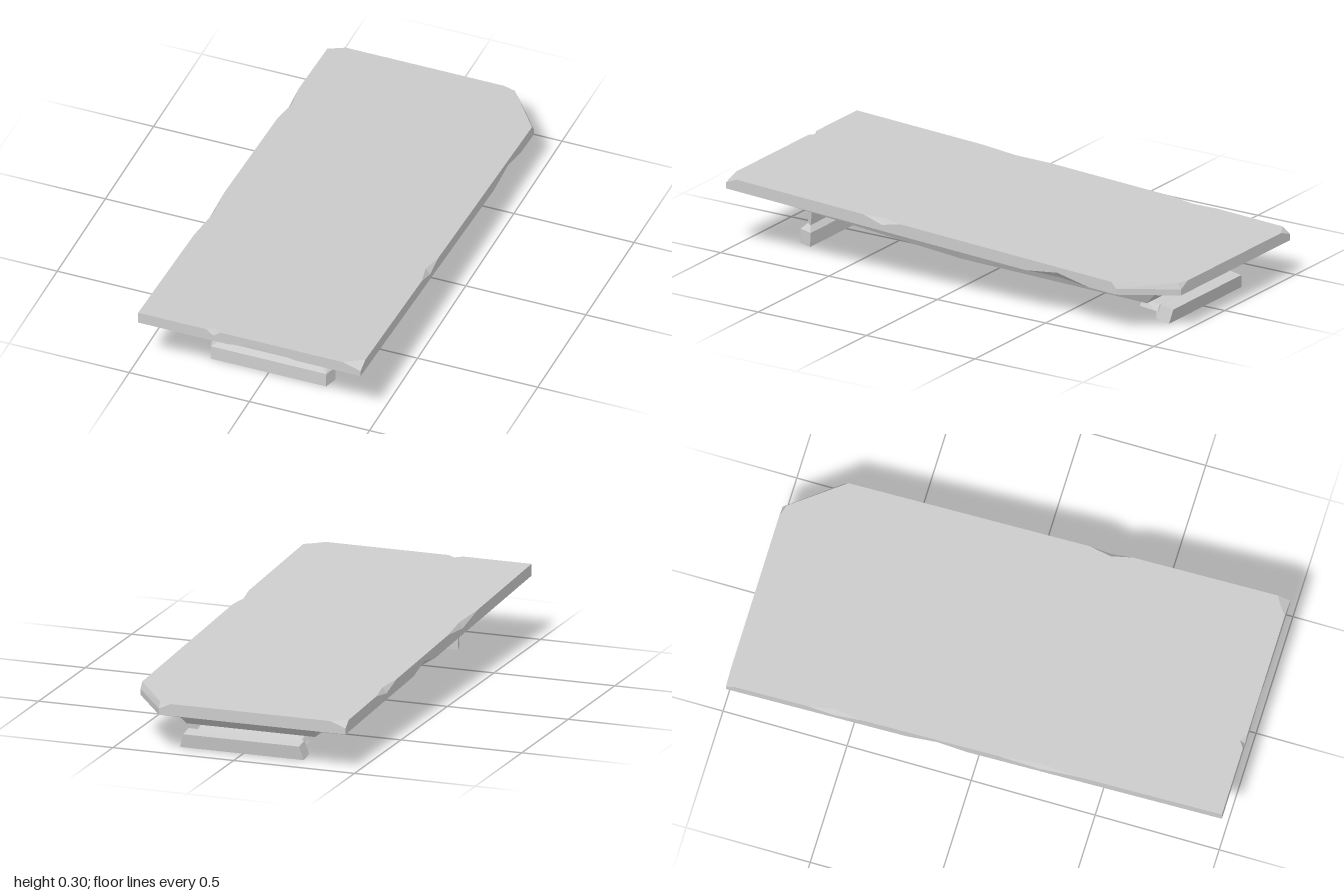
import * as THREE from 'three';

const material = new THREE.MeshStandardMaterial({ color: 0xcccccc, flatShading: true });

// Joins rings of [x, y, z] (bottom to top, counter-clockwise from above) and caps both ends.
// isChip(i) picks the quad diagonals so a pushed-in corner reads as a clean facet.
function loft(rings, isChip = () => false) {
  const pos = [];
  const tri = (...pts) => pts.forEach((p) => pos.push(...p));
  const n = rings[0].length;
  for (let r = 0; r < rings.length - 1; r++) {
    const lo = rings[r], hi = rings[r + 1];
    for (let i = 0; i < n; i++) {
      const j = (i + 1) % n;
      const rising = r === 0 ? !isChip(i) : !isChip(j);
      if (rising) { tri(lo[i], lo[j], hi[j]); tri(lo[i], hi[j], hi[i]); }
      else { tri(lo[i], lo[j], hi[i]); tri(lo[j], hi[j], hi[i]); }
    }
  }
  const cap = (ring, up) => {
    const flat = ring.map(([x, , z]) => new THREE.Vector2(x, -z));
    for (const [a, b, c] of THREE.ShapeUtils.triangulateShape(flat, [])) {
      if (up) tri(ring[a], ring[b], ring[c]);
      else tri(ring[a], ring[c], ring[b]);
    }
  };
  cap(rings[0], false);
  cap(rings[rings.length - 1], true);
  const g = new THREE.BufferGeometry();
  g.setAttribute('position', new THREE.Float32BufferAttribute(pos, 3));
  g.computeVertexNormals();
  return g;
}

function part(name, geometry) {
  const mesh = new THREE.Mesh(geometry, material);
  mesh.name = name;
  return mesh;
}

const W = 0.463;
const slope = (z) => 0.05 * z;

// Slab outline: corners plus chips; top / bottom give the moved edge position
function slabGeometry() {
  const pts = [];
  const add = (x, z, top, bottom, chip = false) => pts.push({ x, z, top: top || [x, z], bottom: bottom || [x, z], chip });
  // A chip on a straight edge: (dx, dz) runs along the edge, (nx, nz) points inward
  const chip = (x, z, dx, dz, nx, nz, depth, atTop) => {
    const inner = [x + nx * depth, z + nz * depth];
    add(x - dx, z - dz);
    add(x, z, atTop && inner, !atTop && inner, true);
    add(x + dx, z + dz);
  };
  // left side, front to back
  add(W, 1, [0.425, 0.973], null, true);
  add(W, 0.95);
  chip(W, 0.28, 0, -0.085, -1, 0, 0.018, true);
  chip(W, -0.53, 0, -0.145, -1, 0, 0.02, false);
  // cut back corner
  add(W, -0.8, [W, -0.78]);
  add(0.31, -1, [0.31, -0.985]);
  add(0.26, -1);
  // back edge and its chipped corner
  add(-0.4, -1);
  add(-W, -1, [-0.43, -0.983], null, true);
  add(-W, -0.965);
  // right side, back to front
  chip(-W, -0.56, 0, 0.11, 1, 0, 0.016, true);
  chip(-W, -0.15, 0, 0.12, 1, 0, 0.02, false);
  chip(-W, 0.26, 0, 0.16, 1, 0, 0.014, true);
  // front edge
  add(-W, 1);
  chip(-0.15, 1, 0.03, 0, 0, -1, 0.02, true);
  chip(0.05, 1, 0.14, 0, 0, -1, 0.045, false);
  add(0.39, 1);

  const ring = (pick, y) => pts.map((p) => {
    const [x, z] = pick(p);
    return [x, y + slope(z), z];
  });
  return loft([
    ring((p) => p.bottom, 0.2025),
    ring((p) => [p.x, p.z], 0.227),
    ring((p) => p.top, 0.25),
  ], (i) => pts[i].chip);
}

// Six-sided tapering body under the slab, widest in the middle
function bodyGeometry() {
  const ring = (wEnd, wMid, zEnd, y) => [
    [wEnd, zEnd], [wMid, 0], [wEnd, -zEnd], [-wEnd, -zEnd], [-wMid, 0], [-wEnd, zEnd],
  ].map(([x, z]) => [x, y + slope(z), z]);
  return loft([ring(0.266, 0.32, 0.815, 0.113), ring(0.307, 0.365, 0.9, 0.203)]);
}

// Plate leg hanging down from y = 0, flaring into a wide bar foot; front is narrower than back
function legGeometry() {
  const levels = [
    [0.24, 0.028, -0.155], [0.24, 0.028, -0.097], [0.215, 0.011, -0.076], [0.215, 0.016, 0],
  ];
  return loft(levels.map(([w, d, y]) => [
    [w, y, d], [w + 0.016, y, -d], [-w - 0.016, y, -d], [-w, y, d],
  ]));
}

export function createModel() {
  const model = new THREE.Group();
  model.name = 'board';
  model.add(part('slab', slabGeometry()), part('underBody', bodyGeometry()));

  const frontLeg = part('frontLeg', legGeometry());
  frontLeg.position.set(0, 0.156, 0.768);
  frontLeg.rotation.x = -0.04;

  // back leg is folded outwards, almost flat
  const backLeg = part('backLeg', legGeometry().rotateY(Math.PI));
  backLeg.position.set(0, 0.057, -0.762);
  backLeg.rotation.x = 1.405;

  model.add(frontLeg, backLeg);
  return model;
}
